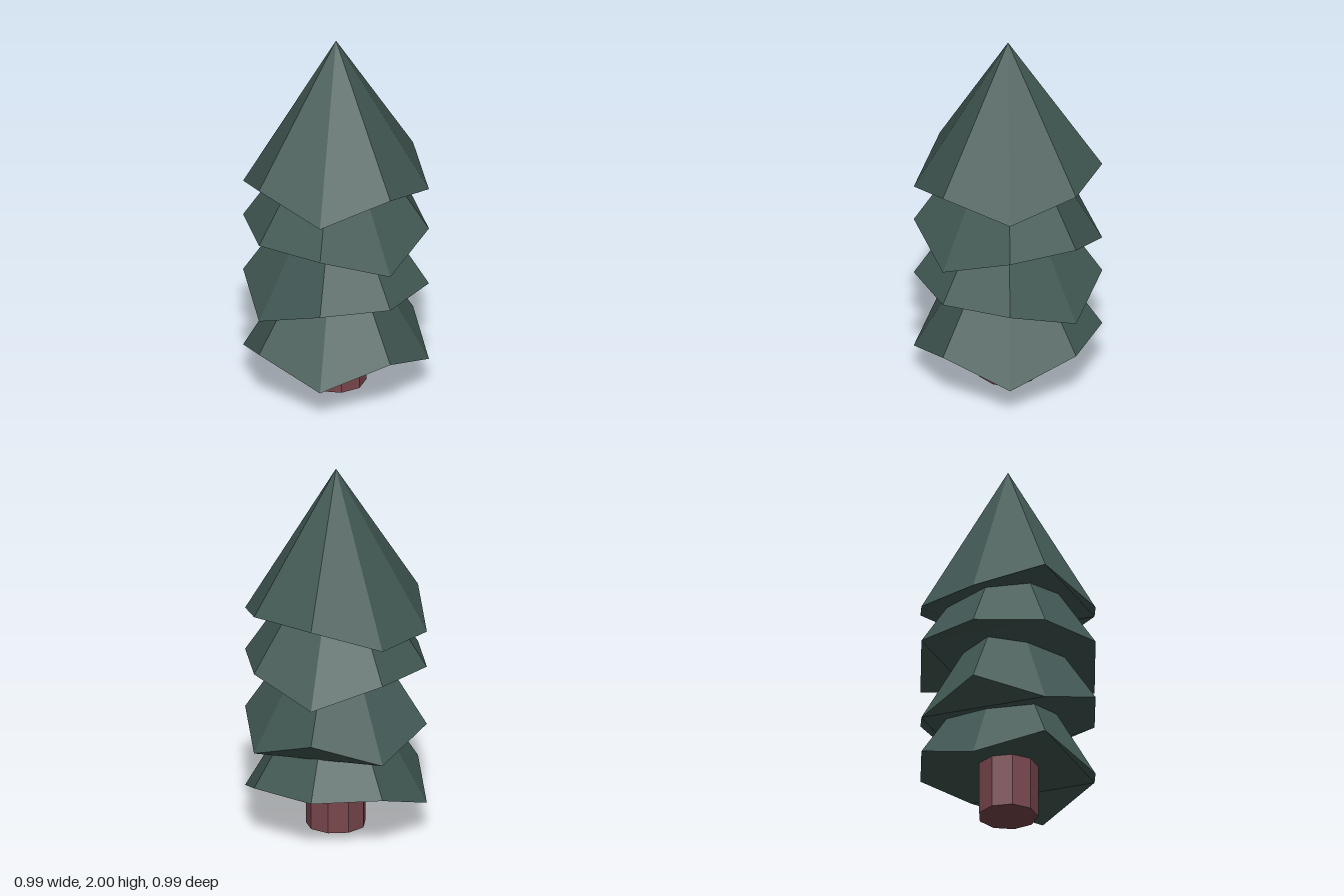
import * as THREE from 'three';

const SIDES = 8;
const RADIUS = 0.497;

// Rim heights run from the front (+z) round through +x, every 45 degrees
const TIERS = [
  { name: 'topFoliage', apex: 2.0, rim: [1.131, 1.256, 1.166, 1.256, 1.256, 1.131, 1.131, 1.256] },
  { name: 'upperFoliage', apex: 1.675, rim: [0.933, 0.808, 0.933, 0.933, 0.808, 0.933, 0.933, 0.933] },
  { name: 'middleFoliage', apex: 1.352, rim: [0.61, 0.61, 0.61, 0.486, 0.61, 0.486, 0.61, 0.486] },
  { name: 'lowerFoliage', apex: 1.03, rim: [0.164, 0.289, 0.164, 0.289, 0.289, 0.289, 0.164, 0.289] },
];

// Eight-sided cone with uneven rim corners and a folded underside
function foliageGeometry({ apex, rim }) {
  const tip = new THREE.Vector3(0, apex, 0);
  const corners = rim.map((y, i) => {
    const angle = (i / SIDES) * Math.PI * 2;
    return new THREE.Vector3(Math.sin(angle) * RADIUS, y, Math.cos(angle) * RADIUS);
  });
  const points = [];
  // Sloping sides
  for (let i = 0; i < SIDES; i++) points.push(tip, corners[i], corners[(i + 1) % SIDES]);
  // Underside: a flap at every other corner, then the square between them
  for (let i = 0; i < SIDES; i += 2) {
    points.push(corners[i + 1], corners[i], corners[(i + SIDES - 1) % SIDES]);
  }
  points.push(corners[5], corners[3], corners[1]);
  points.push(corners[1], corners[7], corners[5]);

  const geometry = new THREE.BufferGeometry().setFromPoints(points);
  geometry.computeVertexNormals();
  return geometry;
}

export function createModel() {
  const tree = new THREE.Group();
  tree.name = 'pineTree';

  const needleGreen = new THREE.MeshStandardMaterial({ color: 0x425954, flatShading: true });
  needleGreen.name = 'needleGreen';
  const barkBrown = new THREE.MeshStandardMaterial({ color: 0x7a474d, flatShading: true });
  barkBrown.name = 'barkBrown';

  // Nine-sided trunk with one flat face to the front
  const trunk = new THREE.Mesh(
    new THREE.CylinderGeometry(0.16, 0.16, 0.45, 9, 1, false, Math.PI / 9),
    barkBrown
  );
  trunk.name = 'trunk';
  trunk.position.y = 0.225;
  tree.add(trunk);

  // Four stacked layers of foliage
  for (const tier of TIERS) {
    const mesh = new THREE.Mesh(foliageGeometry(tier), needleGreen);
    mesh.name = tier.name;
    tree.add(mesh);
  }
  return tree;
}
